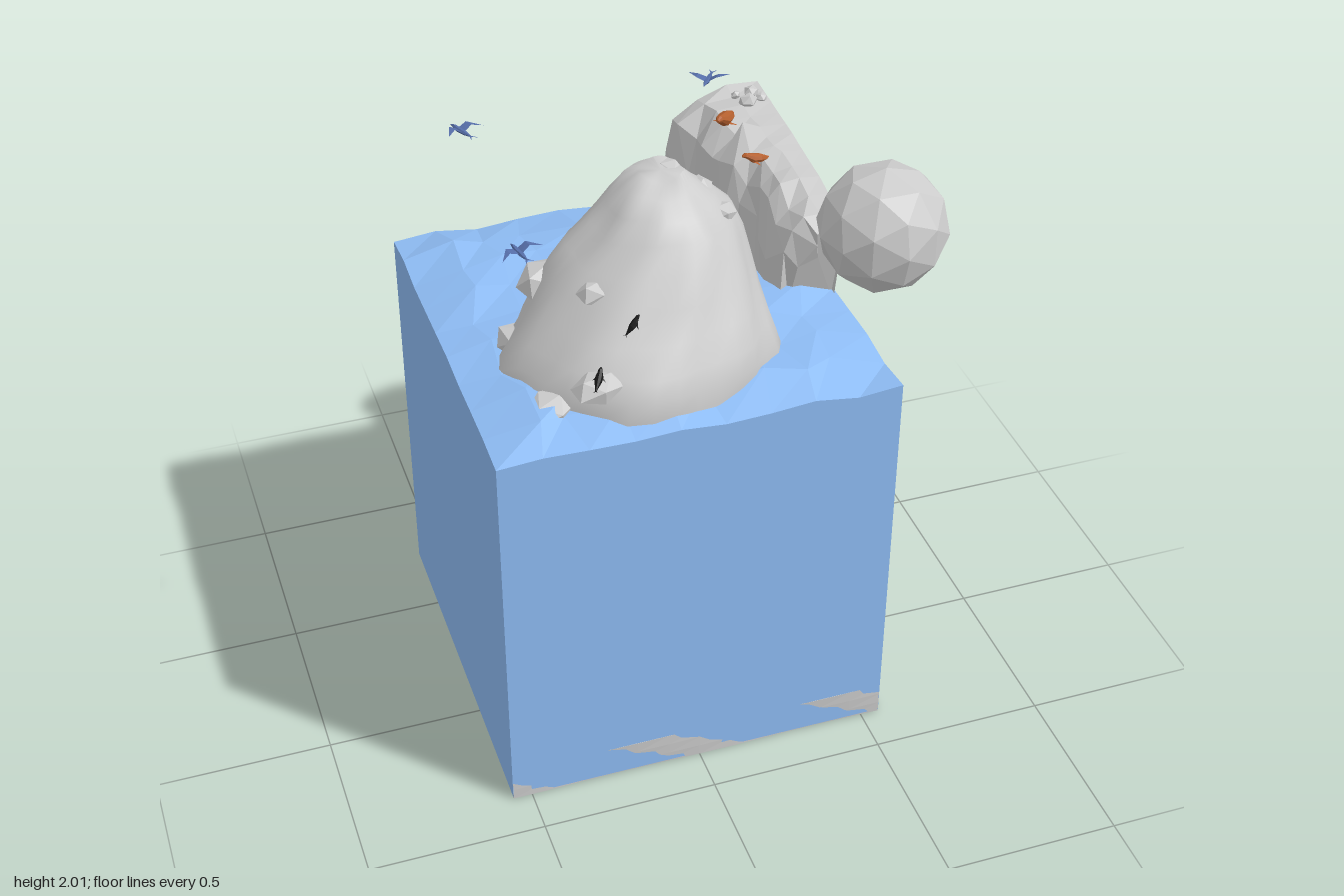
import * as THREE from 'three';
import { toCreasedNormals } from 'three/addons/utils/BufferGeometryUtils.js';

const flat = (color) => new THREE.MeshStandardMaterial({ color, flatShading: true, side: THREE.DoubleSide });
const stone = flat(0xcccccc);
const smoothStone = new THREE.MeshStandardMaterial({ color: 0xcccccc });
const sea = flat(0x8fbdf5);
const feather = flat(0x566ea8);
const rust = flat(0xb5602f);
const black = flat(0x161616);

// Repeatable value in -1..1 for a pair of numbers
const jitter = (a, b) => {
  const s = Math.sin(a * 127.1 + b * 311.7) * 43758.5453;
  return (s - Math.floor(s)) * 2 - 1;
};

function add(parent, name, geometry, material, x = 0, y = 0, z = 0) {
  const mesh = new THREE.Mesh(geometry, material);
  mesh.name = name;
  mesh.position.set(x, y, z);
  parent.add(mesh);
  return mesh;
}

// Skin over rings of points, capped at both ends
function loft(rings) {
  const n = rings[0].length, last = rings.length - 1, pos = rings.flat(2), index = [];
  for (let i = 0; i < last; i++) {
    for (let j = 0; j < n; j++) {
      const a = i * n + j, b = i * n + (j + 1) % n;
      index.push(a, b, b + n, a, b + n, a + n);
    }
  }
  for (const i of [0, last]) {
    const c = pos.length / 3;
    for (let k = 0; k < 3; k++) pos.push(rings[i].reduce((s, p) => s + p[k], 0) / n);
    for (let j = 0; j < n; j++) {
      const a = i * n + j, b = i * n + (j + 1) % n;
      if (i) index.push(c, a, b); else index.push(c, b, a);
    }
  }
  const g = new THREE.BufferGeometry();
  g.setAttribute('position', new THREE.Float32BufferAttribute(pos, 3));
  g.setIndex(index);
  g.computeVertexNormals();
  return g;
}

// Round body along z from [z, y, halfWidth, halfHeight] stations
const body = (stations, sides = 8) => loft(stations.map(([z, y, w, h]) =>
  Array.from({ length: sides }, (_, j) => {
    const a = j / sides * Math.PI * 2;
    return [w * Math.cos(a), y + h * Math.sin(a), z];
  })));

// Thin sheet of triangles from outline corners
function sheet(points) {
  const g = new THREE.BufferGeometry();
  g.setAttribute('position', new THREE.Float32BufferAttribute(points.flat(), 3));
  g.setIndex(Array.from({ length: points.length - 2 }, (_, i) => [i, i + 1, i + 2]).flat());
  g.computeVertexNormals();
  return g;
}

function makeWater() {
  const g = new THREE.BoxGeometry(1.11, 1.17, 1.11, 9, 1, 9).translate(0, 0.59, -0.185);
  const p = g.attributes.position;
  for (let i = 0; i < p.count; i++) {
    if (p.getY(i) < 1) continue;
    const x = p.getX(i), z = p.getZ(i) + 0.185;
    const edge = Math.min(0.555 - Math.abs(x), 0.555 - Math.abs(z));
    const rise = Math.min(1, edge / 0.13);
    const wave = jitter(Math.round(x * 50), Math.round(z * 50));
    p.setY(i, 1.183 + 0.035 * rise + wave * 0.012);
    if (rise > 0.5) {
      p.setX(i, x + wave * 0.03);
      p.setZ(i, z - 0.185 + jitter(wave, 3) * 0.03);
    }
  }
  g.computeVertexNormals();
  return g;
}

// Seabed whose front and back edges break through the water block here and there
function makeSeabed() {
  const g = new THREE.BoxGeometry(1.108, 0.1, 1.11, 12, 3, 1).translate(0, 0.05, -0.185);
  const p = g.attributes.position;
  for (let i = 0; i < p.count; i++) {
    const x = p.getX(i), y = p.getY(i), z = p.getZ(i), s = Math.sign(z + 0.185);
    const bulge = Math.sin(x * 11 + s + y * 25) - 0.45;
    p.setZ(i, z + s * 0.002 * bulge);
  }
  g.computeVertexNormals();
  return g;
}

function makeMountain() {
  // height, x range, z range
  const levels = [
    [1.1, -0.44, 0.325, -0.33, 0.33], [1.2, -0.435, 0.325, -0.33, 0.33],
    [1.25, -0.41, 0.31, -0.32, 0.32], [1.3, -0.375, 0.295, -0.305, 0.295],
    [1.36, -0.33, 0.28, -0.29, 0.245], [1.43, -0.285, 0.265, -0.27, 0.195],
    [1.5, -0.23, 0.245, -0.245, 0.145], [1.56, -0.16, 0.22, -0.225, 0.1],
    [1.61, -0.115, 0.17, -0.205, 0.065], [1.65, -0.07, 0.12, -0.19, 0.015],
    [1.672, -0.02, 0.1, -0.165, -0.04]];
  const rings = levels.map(([y, x0, x1, z0, z1], i) => Array.from({ length: 36 }, (_, j) => {
    const a = j / 36 * Math.PI * 2;
    const r = 1 + 0.022 * Math.sin(a * 5 + y * 9) + 0.018 * Math.sin(a * 9 - y * 16)
      + (i < 4 ? 0.015 * jitter(j, i) : 0);
    return [(x0 + x1) / 2 + (x1 - x0) / 2 * r * Math.cos(a),
      y + (i > 1 ? 0.006 * Math.sin(a * 3 + i) : 0),
      (z0 + z1) / 2 - (z1 - z0) / 2 * r * Math.sin(a)];
  }));
  return toCreasedNormals(loft(rings), 0.7);
}

function makeCliff() {
  // z, left edge, height of the outer edge
  const rows = [[-0.733, 0.25, 1.515], [-0.68, 0.255, 1.512], [-0.62, 0.28, 1.508], [-0.56, 0.28, 1.503],
    [-0.5, 0.305, 1.5], [-0.45, 0.305, 1.497], [-0.4, 0.315, 1.49], [-0.37, 0.355, 1.487], [-0.3, 0.365, 1.48],
    [-0.24, 0.36, 1.475], [-0.17, 0.36, 1.46], [-0.1, 0.385, 1.445], [-0.05, 0.42, 1.43]];
  return loft(rows.map(([z, l, h], i) => {
    const w = 0.548 - l, peak = z === -0.45 ? 0.06 : 0;
    const end = i === rows.length - 1 ? 0.07 : 0, j = (k) => jitter(i, k);
    return [[l, 1.16, z - end], [0.548, 1.16, z - end], [0.548, h, z],
      [l + w * 0.68, h + 0.008 * j(1), z], [l + w * 0.38, h - 0.012 + 0.02 * j(2) + peak, z],
      [l + 0.035 + 0.015 * j(3), h - 0.06 + 0.03 * j(4), z],
      [l + 0.015 + 0.012 * j(5), 1.31 + 0.04 * j(6), z - end * 0.4]];
  }));
}

// Angular boulder
function rock(parent, name, [x, y, z], [sx, sy, sz], turn = 0) {
  const m = add(parent, name, new THREE.IcosahedronGeometry(1, 0), stone, x, y, z);
  m.scale.set(sx, sy, sz);
  m.rotation.set(turn * 0.6, turn, turn * 0.3);
}

// Bird gliding towards its own +z
function bird(parent, [x, y, z], yaw, roll) {
  const g = new THREE.Group();
  g.name = 'bird';
  add(g, 'birdBody', body([[-0.035, 0, 0.002, 0.002], [-0.012, 0, 0.007, 0.006], [0.015, 0, 0.008, 0.007],
    [0.03, 0.003, 0.005, 0.005], [0.045, 0.002, 0.001, 0.001]], 6), feather);
  for (const s of [-1, 1]) {
    add(g, 'wing', sheet([[0, 0, 0.02], [0, 0, -0.008], [s * 0.028, 0.014, 0.018],
      [s * 0.028, 0.013, -0.004], [s * 0.058, 0.008, -0.018]]), feather);
    add(g, 'tailFeather', sheet([[0, 0, -0.028], [s * 0.012, 0, -0.052], [0, 0, -0.04]]), feather);
  }
  g.position.set(x, y, z);
  g.rotation.set(0, yaw, roll, 'YXZ');
  parent.add(g);
}

// Seal lying towards its own +z, one unit long
function seal(parent, name, material, [x, y, z], size, yaw, pitch) {
  const g = new THREE.Group();
  g.name = name;
  add(g, 'sealBody', body([[-0.5, 0.05, 0.03, 0.02], [-0.35, 0.07, 0.07, 0.06], [-0.1, 0.12, 0.15, 0.13],
    [0.15, 0.15, 0.16, 0.15], [0.3, 0.23, 0.1, 0.1], [0.4, 0.28, 0.085, 0.08], [0.5, 0.27, 0.03, 0.03]]), material);
  for (const s of [-1, 1]) {
    add(g, 'frontFlipper', sheet([[s * 0.1, 0.1, 0.2], [s * 0.12, 0.08, 0.06], [s * 0.29, 0.01, 0]]), material);
    add(g, 'tailFlipper', sheet([[0, 0.05, -0.44], [s * 0.1, 0.04, -0.6], [0, 0.05, -0.52]]), material);
  }
  g.position.set(x, y, z);
  g.scale.setScalar(size);
  g.rotation.set(-pitch, yaw, 0, 'YXZ');
  parent.add(g);
}

export function createModel() {
  const model = new THREE.Group();
  model.name = 'islandDiorama';
  add(model, 'water', makeWater(), sea);
  add(model, 'seabed', makeSeabed(), stone);
  add(model, 'mountain', makeMountain(), smoothStone);
  add(model, 'cliff', makeCliff(), stone);
  add(model, 'moon', new THREE.IcosahedronGeometry(0.16, 1), stone, 0.365, 1.845, 0.582);

  // Boulders set into the mountain
  rock(model, 'sideBoulder', [-0.285, 1.38, -0.13], [0.075, 0.055, 0.06], 0.5);
  rock(model, 'ledge', [-0.195, 1.45, 0.07], [0.055, 0.035, 0.045], 0.3);
  rock(model, 'frontLedge', [-0.25, 1.285, 0.255], [0.075, 0.04, 0.055], 0.2);
  rock(model, 'baseRock', [0.27, 1.22, -0.14], [0.05, 0.04, 0.045], 1);
  rock(model, 'baseRock', [-0.37, 1.23, -0.08], [0.05, 0.05, 0.07], 0.7);
  rock(model, 'baseRock', [-0.36, 1.21, 0.2], [0.07, 0.03, 0.06], 0.4);
  rock(model, 'peakShard', [0.135, 1.615, -0.07], [0.04, 0.03, 0.04], 0.8);
  rock(model, 'peakShard', [0.18, 1.57, -0.01], [0.04, 0.03, 0.035], 0.2);
  rock(model, 'peakShard', [0.07, 1.655, -0.13], [0.04, 0.025, 0.05], 0.1);

  // Pebbles on the cliff top
  for (const [x, z, r] of [[0.48, -0.63, 0.03], [0.51, -0.68, 0.024], [0.46, -0.675, 0.016], [0.525, -0.64, 0.018]])
    rock(model, 'pebble', [x, 1.515, z], [r, r * 0.8, r], x * 20);

  seal(model, 'brownSeal', rust, [0.39, 1.495, -0.565], 0.135, -0.7, 0.05);
  seal(model, 'brownSeal', rust, [0.41, 1.478, -0.365], 0.095, -1.45, 0.05);
  seal(model, 'blackSeal', black, [-0.01, 1.615, -0.01], 0.07, 2.1, 0.6);
  seal(model, 'blackSeal', black, [-0.135, 1.415, 0.205], 0.06, 2.0, 0.5);
  seal(model, 'blackSeal', black, [-0.255, 1.325, 0.285], 0.065, 2.6, 0.3);

  bird(model, [-0.435, 1.76, -0.31], -2.7, 0.1);
  bird(model, [-0.415, 1.67, 0.16], -2.9, -0.1);
  bird(model, [0.225, 1.825, -0.26], -0.6, 0.1);
  return model;
}
